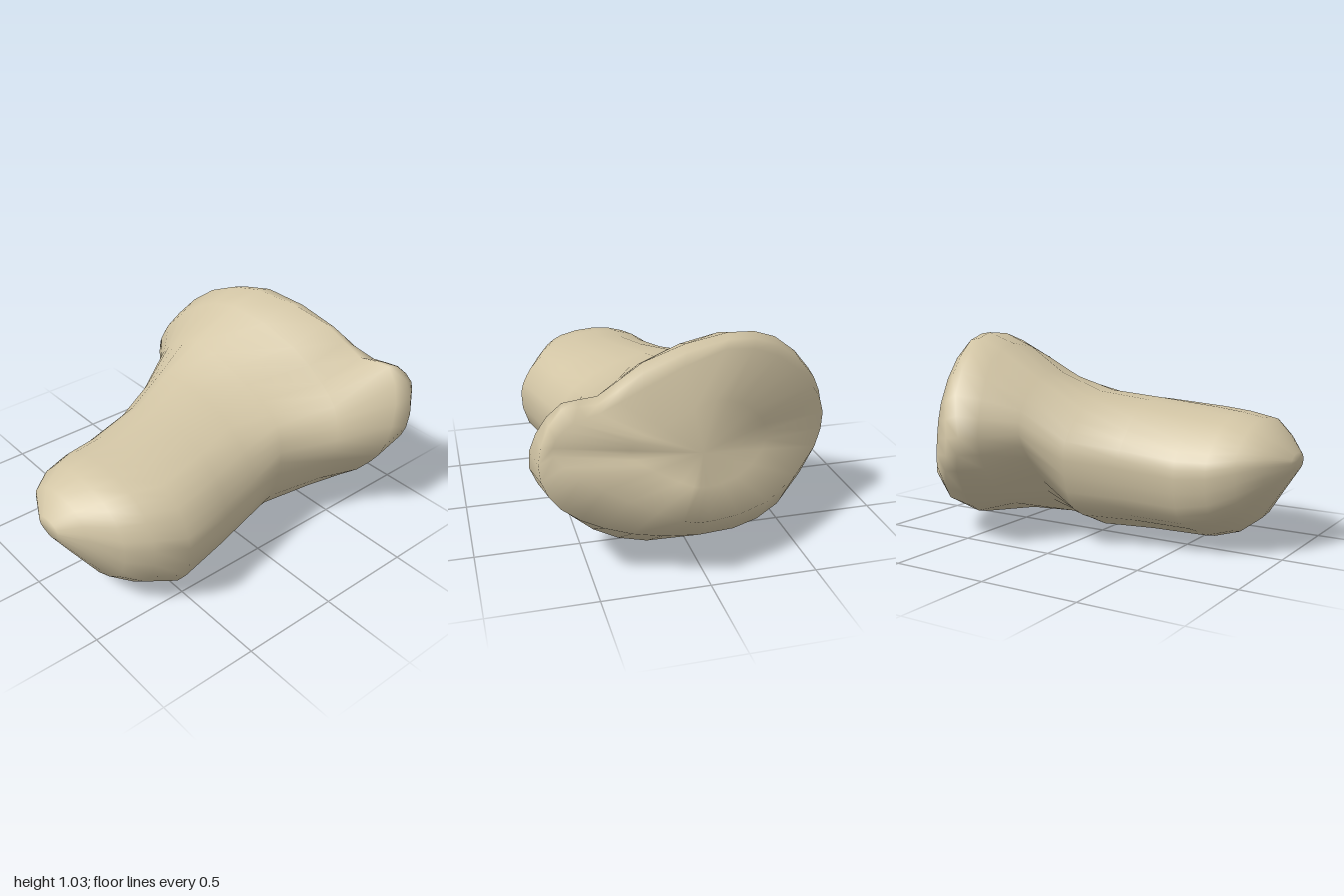
import * as THREE from 'three';

const SIDES = 30;
const bone = new THREE.MeshStandardMaterial({ color: 0xd2c5a5 });
bone.name = 'bone beige';

// Shaft cross-section in a unit box, counter-clockwise from the +x side
const shaftProfile = [
  [1, 0.58], [0.96, 0.73], [0.9, 0.84], [0.78, 0.94], [0.5, 1], [0.24, 0.94], [0.1, 0.8],
  [0.02, 0.68], [0, 0.56], [0.03, 0.35], [0.1, 0.22], [0.29, 0.11], [0.53, 0], [0.79, 0.09], [0.96, 0.3],
];

// Shaft stations: z, left, right, bottom, top, fall of the top toward +x
const shaftStations = [
  [1.0, 0.08, 0.24, 0.4, 0.49, 0],
  [0.92, -0.08, 0.36, 0.28, 0.58, 0],
  [0.82, -0.17, 0.5, 0.14, 0.645, 0],
  [0.7, -0.23, 0.56, 0.05, 0.665, 0],
  [0.55, -0.26, 0.63, 0, 0.685, 0.04],
  [0.28, -0.31, 0.57, 0.01, 0.73, 0.1],
  [0.04, -0.42, 0.51, 0.02, 0.78, 0.18],
];

// Collar where the shaft meets the head, undercut on the -x side
const collarRing = [
  [0.47, 0.45, -0.16], [0.45, 0.56, -0.17], [0.41, 0.63, -0.18], [0.28, 0.71, -0.18], [0.05, 0.8, -0.18],
  [-0.22, 0.84, -0.19], [-0.38, 0.78, -0.18], [-0.48, 0.68, -0.17], [-0.51, 0.57, -0.16], [-0.42, 0.44, -0.17],
  [-0.3, 0.31, -0.18], [-0.18, 0.18, -0.19], [0.2, 0.03, -0.18], [0.36, 0.13, -0.17], [0.44, 0.29, -0.16],
];

// Head rings, counter-clockwise from the +x side: where the lobes swell out of the shaft
const shoulderRing = [
  [0.58, 0.46, -0.43], [0.57, 0.58, -0.45], [0.51, 0.67, -0.48], [0.39, 0.75, -0.5], [0.2, 0.88, -0.48],
  [-0.2, 0.98, -0.42], [-0.44, 0.9, -0.37], [-0.61, 0.74, -0.3], [-0.67, 0.56, -0.28], [-0.6, 0.4, -0.3],
  [-0.36, 0.23, -0.38], [-0.19, 0.13, -0.43], [0.2, 0.04, -0.45], [0.41, 0.14, -0.45], [0.53, 0.32, -0.44],
];

// Widest line around the head
const headRing = [
  [0.735, 0.49, -0.63], [0.71, 0.69, -0.71], [0.6, 0.84, -0.76], [0.44, 0.84, -0.72], [0.23, 0.96, -0.68],
  [-0.19, 1.03, -0.58], [-0.45, 0.96, -0.49], [-0.66, 0.76, -0.42], [-0.74, 0.57, -0.34], [-0.71, 0.4, -0.38],
  [-0.43, 0.15, -0.52], [-0.22, 0.07, -0.6], [0.2, 0.04, -0.62], [0.46, 0.15, -0.64], [0.65, 0.34, -0.64],
];

// Rounded underside behind the widest line
const bellyRing = [
  [0.71, 0.51, -0.82], [0.705, 0.68, -0.83], [0.61, 0.83, -0.81], [0.45, 0.82, -0.77], [0.24, 0.93, -0.73],
  [-0.17, 1.02, -0.65], [-0.45, 0.94, -0.55], [-0.67, 0.73, -0.47], [-0.735, 0.56, -0.42], [-0.7, 0.39, -0.46],
  [-0.43, 0.18, -0.67], [-0.18, 0.13, -0.76], [0.18, 0.18, -0.83], [0.45, 0.27, -0.85], [0.63, 0.38, -0.84],
];

// Crease where the head turns into its back face
const rimRing = [
  [0.66, 0.66, -0.89], [0.65, 0.73, -0.89], [0.57, 0.79, -0.87], [0.45, 0.8, -0.82], [0.25, 0.87, -0.77],
  [-0.15, 0.99, -0.69], [-0.42, 0.91, -0.61], [-0.64, 0.71, -0.53], [-0.72, 0.55, -0.49], [-0.66, 0.4, -0.55],
  [-0.32, 0.29, -0.83], [0, 0.3, -0.96], [0.13, 0.34, -1], [0.36, 0.45, -0.97], [0.56, 0.57, -0.94],
];

const faceCentre = new THREE.Vector3(0, 0.58, -0.85);

function shaftRing([z, x0, x1, y0, y1, fall]) {
  return shaftProfile.map(([u, v]) => {
    const drop = 1 - fall * Math.max(0, u - 0.22);
    return [x0 + u * (x1 - x0), y0 + v * drop * (y1 - y0), z];
  });
}

// Round a ring of control points into evenly indexed samples
function smoothRing(points) {
  const curve = new THREE.CatmullRomCurve3(
    points.map((p) => new THREE.Vector3(...p)), true, 'centripetal');
  return Array.from({ length: SIDES }, (_, i) => curve.getPoint(i / SIDES));
}

// Skin the rings from front to back and close both ends on a centre point
function loft(rings, frontPoint, backPoint) {
  const points = rings.flat();
  const index = [];
  const front = points.length;
  const back = front + 1;
  points.push(frontPoint, backPoint);
  const last = (rings.length - 1) * SIDES;
  for (let j = 0; j < SIDES; j++) {
    const k = (j + 1) % SIDES;
    for (let i = 0; i < last; i += SIDES) {
      const a = i + j, b = i + k, c = a + SIDES, d = b + SIDES;
      index.push(a, c, b, b, c, d);
    }
    index.push(front, j, k, back, last + k, last + j);
  }
  const geometry = new THREE.BufferGeometry().setFromPoints(points);
  geometry.setIndex(index);
  geometry.computeVertexNormals();
  return geometry;
}

export function createModel() {
  const group = new THREE.Group();
  group.name = 'boneEnd';
  const rings = [
    ...shaftStations.map(shaftRing), collarRing, shoulderRing, headRing, bellyRing, rimRing,
  ].map(smoothRing);
  // Shallow back face drawn in from the rim
  rings.push(rings.at(-1).map((p) => p.clone().lerp(faceCentre, 0.5)));
  const body = new THREE.Mesh(loft(rings, new THREE.Vector3(0.16, 0.45, 1), faceCentre), bone);
  body.name = 'shaftAndHead';
  group.add(body);
  return group;
}
